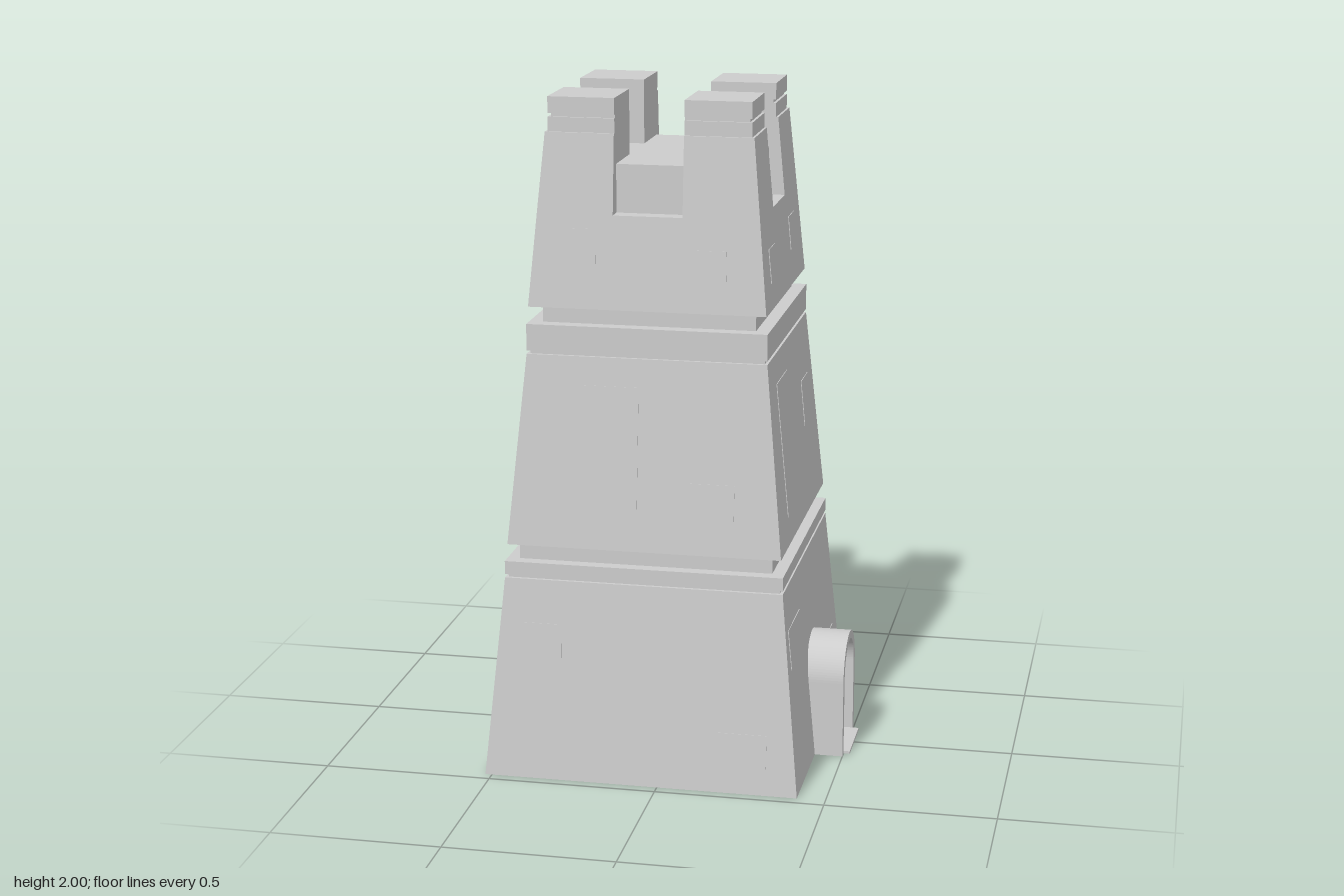
import * as THREE from 'three';

const AXIS_X = -0.052; // the tower stands a little off centre, balanced by the porch

const stone = new THREE.MeshStandardMaterial({ color: 0xcccccc, side: THREE.DoubleSide });
stone.name = 'stone';

function flat(geometry) {
  const g = geometry.index ? geometry.toNonIndexed() : geometry;
  g.computeVertexNormals();
  return g;
}

function add(parent, name, geometry) {
  const mesh = new THREE.Mesh(geometry, stone);
  mesh.name = name;
  parent.add(mesh);
  return mesh;
}

// Square shell from a profile of [half width, height]
function squareShell(profile) {
  const points = profile.map(([h, y]) => new THREE.Vector2(h * Math.SQRT2, y));
  return flat(new THREE.LatheGeometry(points, 4, Math.PI / 4));
}

// Corner block: inner faces upright, outer faces tapering from h0 to h1
function cornerBlock(sx, sz, inner, y0, y1, h0, h1) {
  const g = new THREE.BoxGeometry(1, 1, 1);
  const p = g.attributes.position;
  for (let i = 0; i < p.count; i++) {
    const top = p.getY(i) > 0;
    const outer = top ? h1 : h0;
    p.setXYZ(i,
      sx * (p.getX(i) * sx > 0 ? outer : inner),
      top ? y1 : y0,
      sz * (p.getZ(i) * sz > 0 ? outer : inner));
  }
  return flat(g);
}

// Round-headed outline standing on y = 0
function archOutline(target, r, springY) {
  target.moveTo(-r, 0);
  target.lineTo(r, 0);
  target.lineTo(r, springY);
  target.absarc(0, springY, r, 0, Math.PI, false);
  target.lineTo(-r, 0);
  return target;
}

export function createModel() {
  const model = new THREE.Group();
  model.name = 'watchtower';
  const tower = new THREE.Group();
  tower.name = 'tower';
  tower.position.x = AXIS_X;
  model.add(tower);

  // Three tapering storeys, each finished by a groove, a band and a neck
  add(tower, 'lowerStorey', squareShell([
    [0.468, 0], [0.412, 0.6], [0.402, 0.6], [0.402, 0.61],
    [0.412, 0.61], [0.412, 0.65], [0.375, 0.65], [0.375, 0.7]]));
  add(tower, 'middleStorey', squareShell([
    [0.375, 0.7], [0.405, 0.7], [0.352, 1.262], [0.343, 1.262], [0.343, 1.272],
    [0.352, 1.272], [0.352, 1.35], [0.312, 1.35], [0.312, 1.4]]));
  // Top storey with the notch sills and the raised roof floor
  add(tower, 'upperStorey', squareShell([
    [0.312, 1.4], [0.347, 1.4], [0.323, 1.67], [0.275, 1.67], [0.275, 1.81], [0, 1.81]]));

  // Four corner merlons, stacked in layers
  const layers = [
    ['merlonBody', 1.67, 1.9, 0.323, 0.302],
    ['merlonBand', 1.9, 1.942, 0.295, 0.295],
    ['merlonGroove', 1.942, 1.952, 0.287, 0.287],
    ['merlonCap', 1.952, 2, 0.295, 0.295],
  ];
  for (const sx of [-1, 1]) {
    for (const sz of [-1, 1]) {
      const merlon = new THREE.Group();
      merlon.name = 'merlon';
      for (const [name, y0, y1, h0, h1] of layers) {
        add(merlon, name, cornerBlock(sx, sz, 0.101, y0, y1, h0, h1));
      }
      tower.add(merlon);
    }
  }

  // Barely raised bricks on the sloping walls: [side, storey, across, height, width, tall]
  const storeys = [
    { y0: 0, y1: 0.6, h0: 0.468, h1: 0.412 },
    { y0: 0.7, y1: 1.262, h0: 0.405, h1: 0.352 },
    { y0: 1.4, y1: 1.67, h0: 0.347, h1: 0.323 },
  ];
  const bricks = [
    [0, 0, 0.3, 0.13, 0.15, 0.1], [0, 0, -0.3, 0.42, 0.12, 0.1],
    [0, 1, -0.1, 0.98, 0.16, 0.4], [0, 1, 0.2, 0.85, 0.13, 0.12],
    [0, 2, 0.18, 1.53, 0.1, 0.1], [0, 2, -0.2, 1.58, 0.1, 0.1],
    [1, 0, -0.28, 0.42, 0.2, 0.12], [1, 0, 0.3, 0.2, 0.14, 0.1],
    [1, 1, -0.15, 0.98, 0.18, 0.4], [1, 1, 0.22, 1.02, 0.12, 0.14],
    [1, 2, -0.18, 1.52, 0.1, 0.1], [1, 2, 0.18, 1.55, 0.1, 0.1],
    [2, 0, 0.3, 0.42, 0.15, 0.1], [2, 0, -0.22, 0.15, 0.24, 0.1],
    [2, 1, 0.16, 0.98, 0.1, 0.4], [2, 1, -0.2, 1.05, 0.12, 0.12],
    [2, 2, 0.05, 1.53, 0.2, 0.08], [2, 2, -0.2, 1.55, 0.08, 0.1],
    [3, 0, -0.3, 0.25, 0.14, 0.12], [3, 0, 0.24, 0.42, 0.16, 0.1],
    [3, 1, 0.05, 0.98, 0.28, 0.4], [3, 1, -0.25, 1.0, 0.08, 0.14],
    [3, 2, -0.2, 1.53, 0.1, 0.1], [3, 2, 0.15, 1.56, 0.1, 0.1],
  ];
  const sides = [0, 1, 2, 3].map((s) => {
    const side = new THREE.Group();
    side.name = 'wallBricks';
    side.rotation.y = s * Math.PI / 2;
    tower.add(side);
    return side;
  });
  for (const [s, storey, across, y, w, h] of bricks) {
    const { y0, y1, h0, h1 } = storeys[storey];
    const brick = add(sides[s], 'brick', new THREE.BoxGeometry(w, h, 0.004));
    brick.position.set(across, y, h0 + (h1 - h0) * (y - y0) / (y1 - y0));
    brick.rotation.x = -Math.atan2(h0 - h1, y1 - y0);
  }

  // Arched doorway on the +x wall
  const doorway = new THREE.Group();
  doorway.name = 'doorway';
  doorway.rotation.y = Math.PI / 2;
  model.add(doorway);

  const frameShape = archOutline(new THREE.Shape(), 0.123, 0.232);
  const opening = new THREE.Path();
  opening.moveTo(-0.098, 0.008);
  opening.lineTo(0.098, 0.008);
  opening.lineTo(0.098, 0.232);
  opening.absarc(0, 0.232, 0.098, 0, Math.PI, false);
  opening.lineTo(-0.098, 0.008);
  frameShape.holes.push(opening);
  const frame = add(doorway, 'doorFrame', new THREE.ExtrudeGeometry(frameShape,
    { depth: 0.115, bevelEnabled: false, curveSegments: 24 }));
  frame.position.z = 0.385;

  const door = add(doorway, 'door', new THREE.ExtrudeGeometry(
    archOutline(new THREE.Shape(), 0.1, 0.232),
    { depth: 0.02, bevelEnabled: false, curveSegments: 24 }));
  door.position.z = 0.43;

  // Crossed braces on the door
  for (const tilt of [-1, 1]) {
    const brace = add(doorway, 'doorBrace', new THREE.BoxGeometry(0.018, 0.26, 0.012));
    brace.position.set(0, 0.15, 0.452);
    brace.rotation.z = tilt * 0.55;
  }

  const step = add(doorway, 'threshold', new THREE.BoxGeometry(0.196, 0.008, 0.085));
  step.position.set(0, 0.004, 0.4765);

  return model;
}
